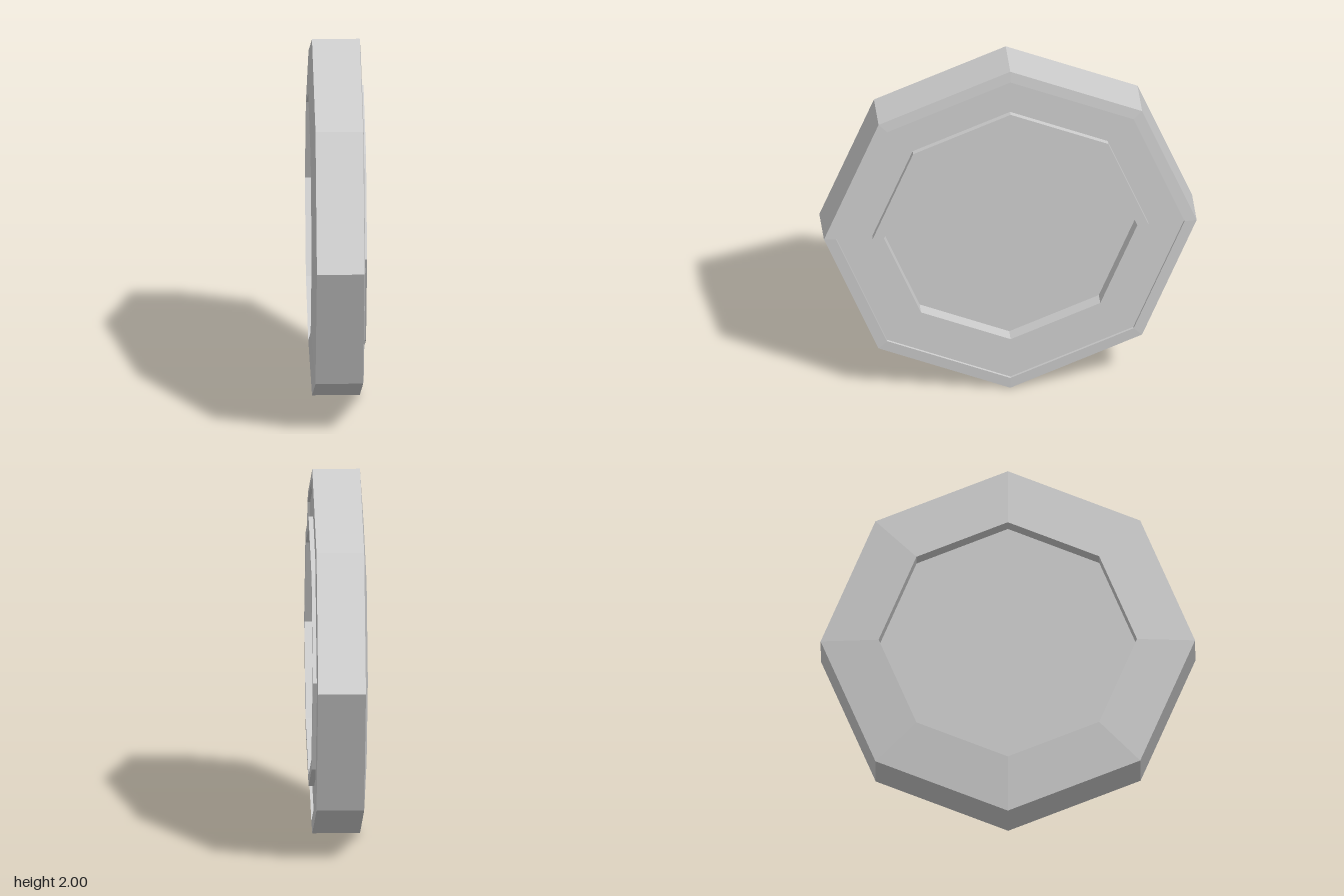
import * as THREE from 'three';

const SIDES = 8;

// Revolves a profile of [radius, x] points about the x axis as a faceted octagon.
function turned(name, profile, material) {
  const points = profile.map(([r, x]) => new THREE.Vector2(r, x));
  const geometry = new THREE.LatheGeometry(points, SIDES);
  geometry.rotateZ(-Math.PI / 2);
  const mesh = new THREE.Mesh(geometry, material);
  mesh.name = name;
  return mesh;
}

export function createModel() {
  const material = new THREE.MeshStandardMaterial({ color: 0xcccccc, flatShading: true });
  const wheel = new THREE.Group();
  wheel.name = 'wheel';

  // Sunken floor and walls on the -x side
  wheel.add(turned('innerRecess', [[0, -0.065], [0.69, -0.065], [0.69, -0.15]], material));

  // Sloped inner face, tread and narrow outer lip
  wheel.add(turned('tyre', [[0.69, -0.15], [1, -0.13], [1, 0.125], [0.935, 0.13]], material));

  // Shallow groove between the lip and the raised ring
  wheel.add(turned('sidewallGroove', [[0.935, 0.13], [0.935, 0.115], [0.74, 0.115]], material));

  // Raised ring around the outer recess
  wheel.add(turned('raisedRing', [[0.74, 0.115], [0.74, 0.145], [0.68, 0.145]], material));

  // Sunken floor and walls on the +x side
  wheel.add(turned('outerRecess', [[0.68, 0.145], [0.68, 0.065], [0, 0.065]], material));

  wheel.position.y = 1;
  const model = new THREE.Group();
  model.name = 'octagonalWheel';
  model.add(wheel);
  return model;
}
